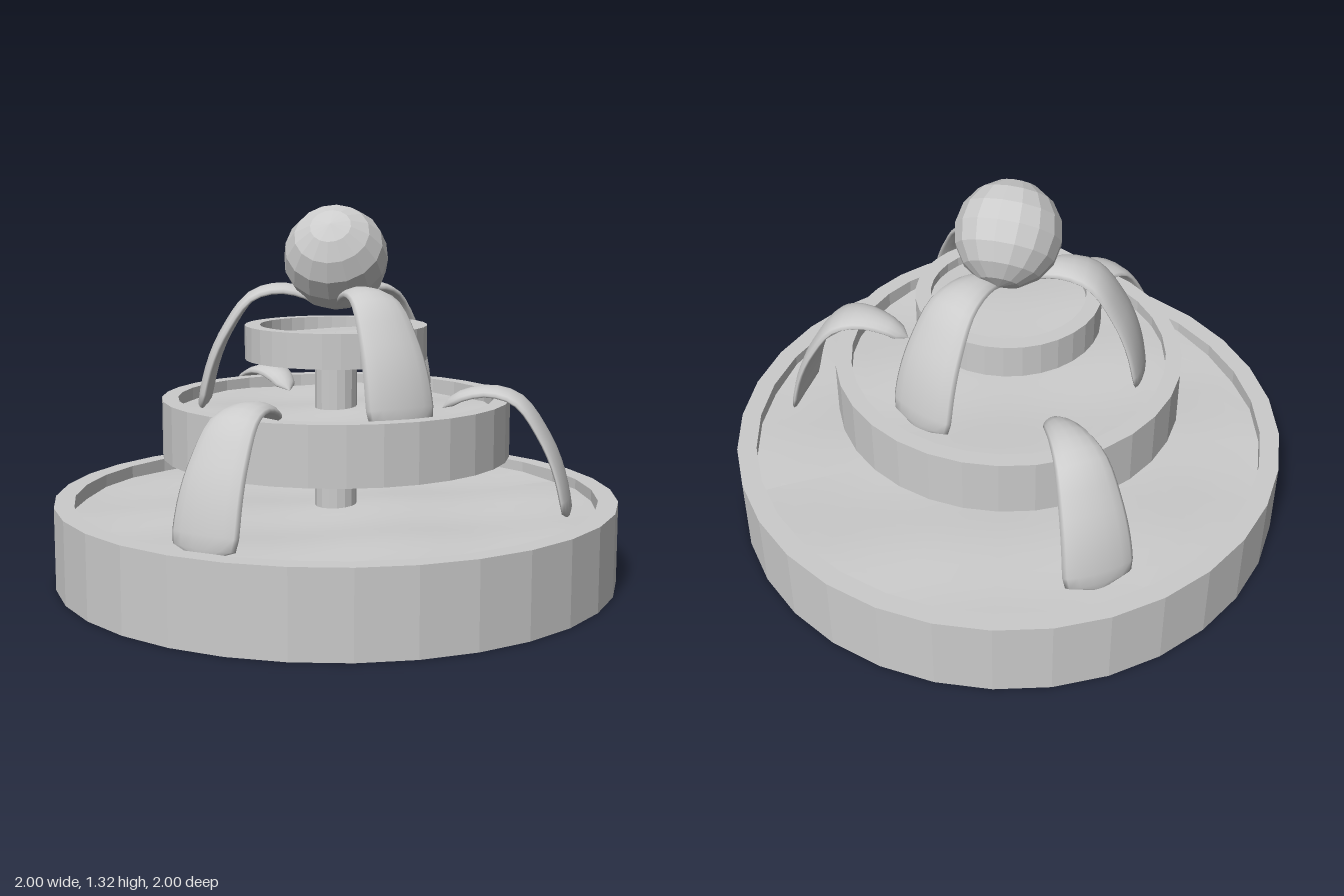
import * as THREE from 'three';

const flat = new THREE.MeshStandardMaterial({ color: 0xcccccc, flatShading: true });
const smooth = new THREE.MeshStandardMaterial({ color: 0xcccccc });

function add(parent, name, geometry, material) {
  const mesh = new THREE.Mesh(geometry, material);
  mesh.name = name;
  parent.add(mesh);
  return mesh;
}

// Round basin with a flat rim, filled with gently rippled water
function addTier(parent, name, radius, inner, bottom, top, water) {
  const tier = new THREE.Group();
  tier.name = name;
  const profile = [
    [0, bottom], [radius, bottom], [radius, top],
    [inner, top], [inner, water - 0.03], [0, water - 0.03],
  ].map(([r, y]) => new THREE.Vector2(r, y));
  add(tier, 'basin', new THREE.LatheGeometry(profile, 32), flat);

  const pool = new THREE.RingGeometry(0.001, inner, 32, 12).rotateX(-Math.PI / 2);
  const p = pool.attributes.position;
  for (let i = 0; i < p.count; i++) {
    const x = p.getX(i), z = p.getZ(i);
    p.setY(i, water + 0.006 * (Math.sin(9 * x + 4 * z) + Math.cos(11 * z - 3 * x)));
  }
  pool.computeVertexNormals();
  add(tier, 'water', pool, smooth);
  parent.add(tier);
}

// Arc of falling water: a flattened section swept outwards, widening as it drops
const arc = new THREE.CatmullRomCurve3([
  [0.01, 0.36], [0.07, 0.405], [0.18, 0.43], [0.28, 0.4],
  [0.37, 0.28], [0.42, 0.17], [0.452, 0.04], [0.46, -0.02],
].map(([r, y]) => new THREE.Vector3(r, y, 0)));

function jetGeometry() {
  const rings = 18, sides = 14, positions = [], indices = [];
  for (let i = 0; i <= rings; i++) {
    const t = i / rings;
    const c = arc.getPointAt(t), d = arc.getTangentAt(t);
    // Both ends close to a rounded tip
    const end = Math.sqrt(Math.max(0, 1 - Math.pow(Math.abs(2 * t - 1), 16)));
    const half = (0.035 + 0.21 * c.x) * end;
    const thick = 0.017 * end;
    for (let j = 0; j < sides; j++) {
      const a = (j / sides) * Math.PI * 2;
      const w = Math.cos(a), s = Math.sin(a);
      const n = thick * Math.sign(s) * Math.pow(Math.abs(s), 0.8) - 0.012 * w * w * end;
      positions.push(c.x - d.y * n, c.y + d.x * n, half * w);
    }
  }
  for (let i = 0; i < rings; i++) {
    for (let j = 0; j < sides; j++) {
      const k = (j + 1) % sides;
      const a = i * sides + j, b = i * sides + k;
      const c = a + sides, d = b + sides;
      indices.push(a, c, b, b, c, d);
    }
  }
  const g = new THREE.BufferGeometry();
  g.setAttribute('position', new THREE.Float32BufferAttribute(positions, 3));
  g.setIndex(indices);
  g.computeVertexNormals();
  return g;
}

// Three jets spread round the fountain, angles measured from +x towards +z
function addJets(parent, name, geometry, start, y, angles) {
  const jets = new THREE.Group();
  jets.name = name;
  for (const degrees of angles) {
    const angle = THREE.MathUtils.degToRad(degrees);
    const jet = add(jets, 'waterJet', geometry, smooth);
    jet.position.set(Math.cos(angle) * start, y, Math.sin(angle) * start);
    jet.rotation.y = -angle;
  }
  parent.add(jets);
}

export function createModel() {
  const fountain = new THREE.Group();
  fountain.name = 'fountain';

  // Stacked basins
  addTier(fountain, 'lowerTier', 1, 0.93, 0, 0.29, 0.245);
  addTier(fountain, 'middleTier', 0.617, 0.56, 0.44, 0.645, 0.6);
  addTier(fountain, 'upperTier', 0.323, 0.27, 0.78, 0.9, 0.865);

  // Central column
  const column = add(fountain, 'column', new THREE.CylinderGeometry(0.075, 0.075, 0.58, 16), flat);
  column.position.y = 0.5;

  // Faceted ball on top
  const ball = add(fountain, 'topBall', new THREE.SphereGeometry(0.185, 16, 8), flat);
  ball.position.y = 1.135;
  ball.rotation.set(0.6, 0.3, 0.45);

  // Water arcs
  const jet = jetGeometry();
  addJets(fountain, 'lowerJets', jet, 0.37, 0.25, [36, 146, 268]);
  addJets(fountain, 'upperJets', jet, 0.02, 0.6, [88, 208, 329]);

  return fountain;
}
